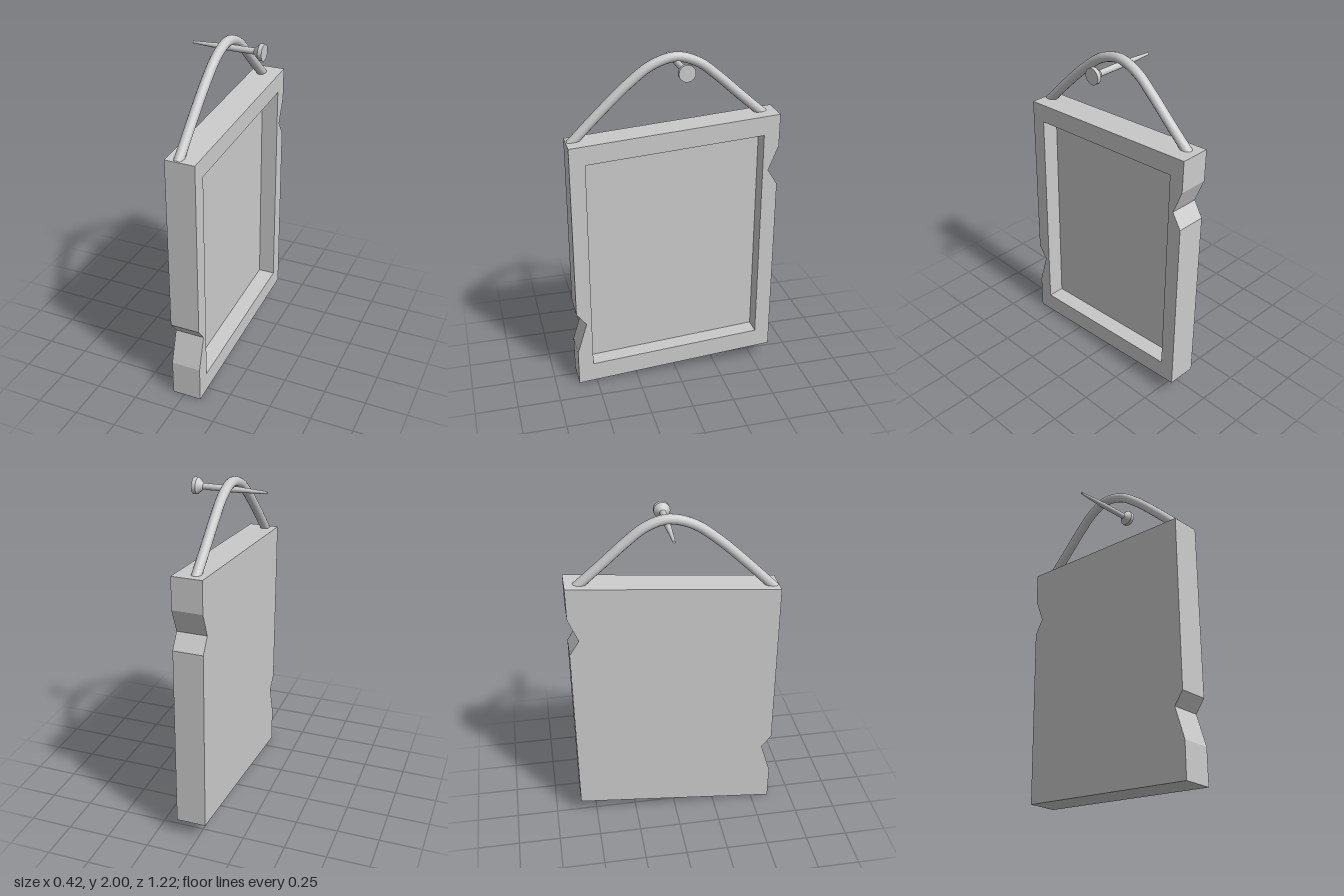
import * as THREE from 'three';

// Outlines as [z, y], seen from the model's left side
const OUTLINE = [
  [0.61, 0], [-0.597, 0.105], [-0.602, 1.205], [-0.545, 1.295], [-0.603, 1.44],
  [-0.605, 1.63], [0.605, 1.53], [0.608, 0.485], [0.55, 0.41], [0.61, 0.215],
];
const OPENING = [[0.52, 0.125], [-0.507, 0.21], [-0.513, 1.51], [0.515, 1.427]];

const BACK_X = -0.06, FRONT_X = 0.115, RECESS_X = 0.015;

const toPoints = (list) => list.map(([z, y]) => new THREE.Vector2(-z, y));

// Extrudes an outline along x, then applies the slight lean of the board
function slab(shape, x0, x1) {
  const geo = new THREE.ExtrudeGeometry(shape, { depth: x1 - x0, bevelEnabled: false });
  geo.rotateY(Math.PI / 2);
  geo.translate(x0, 0, 0);
  geo.applyMatrix4(new THREE.Matrix4().set(
    1, -0.0065, -0.0165, 0,
    0, 1, 0, 0,
    0, 0, 1, 0,
    0, 0, 0, 1,
  ));
  return geo;
}

export function createModel() {
  const group = new THREE.Group();
  const flat = new THREE.MeshStandardMaterial({ color: 0xcccccc, flatShading: true });
  const smooth = new THREE.MeshStandardMaterial({ color: 0xcccccc });

  const add = (name, geo, material, parent = group) => {
    const mesh = new THREE.Mesh(geo, material);
    mesh.name = name;
    parent.add(mesh);
    return mesh;
  };

  // Notched board frame with a recessed panel filling its opening
  const frame = new THREE.Shape(toPoints(OUTLINE));
  frame.holes.push(new THREE.Path(toPoints(OPENING)));
  add('boardFrame', slab(frame, BACK_X, FRONT_X), flat);
  add('recessedPanel', slab(new THREE.Shape(toPoints(OPENING)), BACK_X, RECESS_X), flat);

  // Hanging rope, its ends sunk into the top of the board
  const ropePath = [
    [0.58, 1.515], [0.41, 1.685], [0.245, 1.838], [0.11, 1.935], [-0.03, 1.972],
    [-0.155, 1.932], [-0.26, 1.852], [-0.4, 1.727], [-0.54, 1.605],
  ].map(([z, y]) => new THREE.Vector3(-0.004 - 0.0155 * z, y, z));
  add('rope', new THREE.TubeGeometry(new THREE.CatmullRomCurve3(ropePath), 48, 0.028, 16), smooth);

  // Nail lying along x, as stacked turned sections: [name, x0, r0, x1, r1]
  const nail = new THREE.Group();
  nail.name = 'nail';
  nail.position.set(0, 1.938, -0.031);
  nail.rotation.z = -Math.PI / 2;
  group.add(nail);
  for (const [name, x0, r0, x1, r1] of [
    ['nailPoint', -0.212, 0.007, -0.01, 0.018],
    ['nailShank', -0.01, 0.018, 0.155, 0.018],
    ['nailNeck', 0.155, 0.018, 0.187, 0.047],
    ['nailHead', 0.187, 0.047, 0.21, 0.047],
  ]) {
    add(name, new THREE.CylinderGeometry(r1, r0, x1 - x0, 24), smooth, nail).position.y = (x0 + x1) / 2;
  }

  return group;
}
